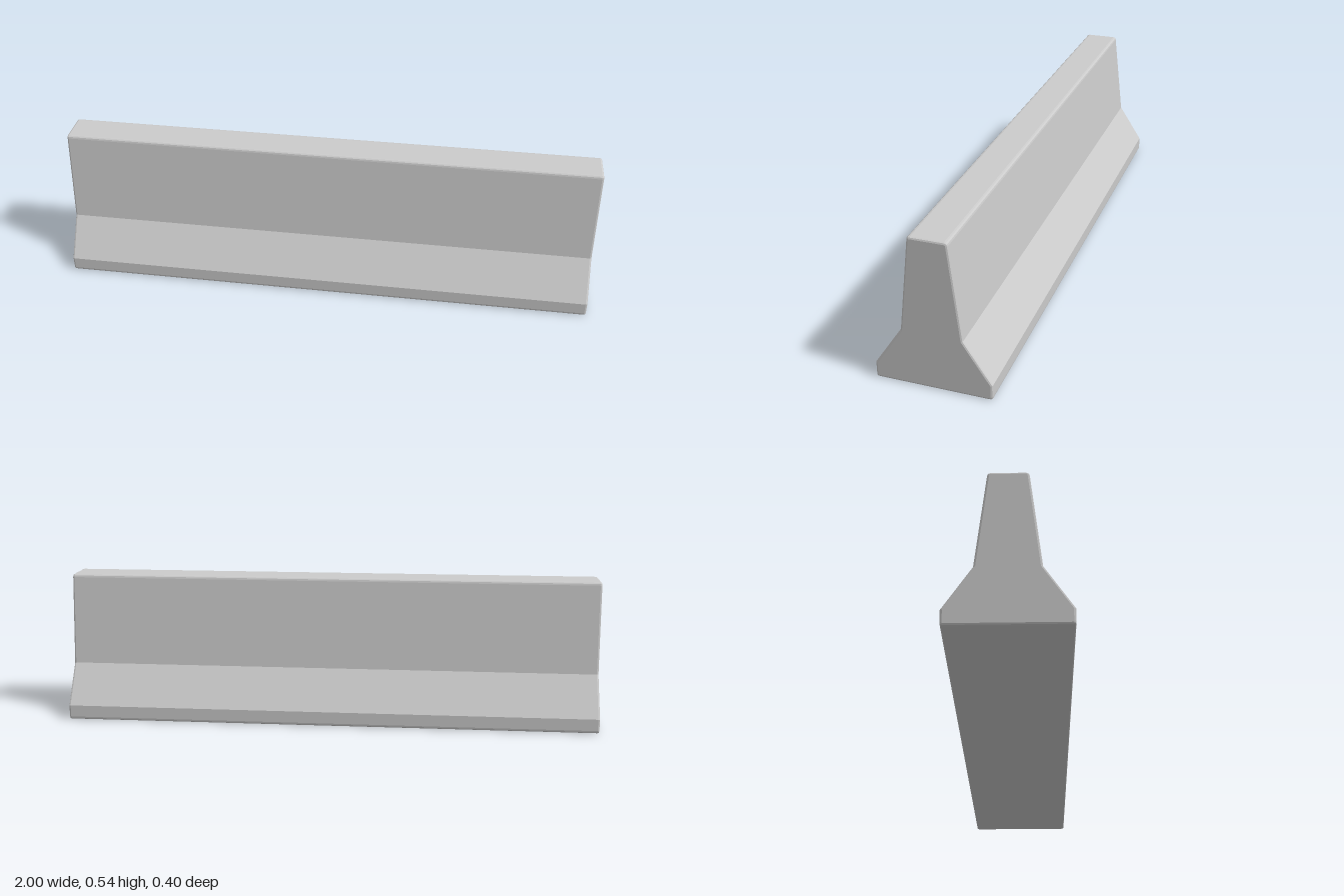
import * as THREE from 'three';

const LENGTH = 2;
const HEIGHT = 0.54;
const BEVEL = 0.007;
const ROUND = 0.011;

// Half of the cross-section, from the bottom corner up to the top corner
const BASE = 0.2, KERB = 0.055;      // upright foot
const WAIST = 0.105, WAIST_Y = 0.2;  // end of the sloping apron
const TOP = 0.066;                   // top edge of the tapering wall

function barrierProfile() {
  const s = new THREE.Shape();
  s.moveTo(-BASE + ROUND, 0);
  s.lineTo(BASE - ROUND, 0);
  s.quadraticCurveTo(BASE, 0, BASE, ROUND);
  s.lineTo(BASE, KERB);
  s.lineTo(WAIST, WAIST_Y);
  s.lineTo(TOP + 0.001, HEIGHT - ROUND);
  s.quadraticCurveTo(TOP, HEIGHT, TOP - ROUND, HEIGHT);
  s.lineTo(-TOP + ROUND, HEIGHT);
  s.quadraticCurveTo(-TOP, HEIGHT, -TOP - 0.001, HEIGHT - ROUND);
  s.lineTo(-WAIST, WAIST_Y);
  s.lineTo(-BASE, KERB);
  s.lineTo(-BASE, ROUND);
  s.quadraticCurveTo(-BASE, 0, -BASE + ROUND, 0);
  return s;
}

export function createModel() {
  const group = new THREE.Group();
  group.name = 'roadBarrier';

  // Solid block: the profile swept along x with softened end edges
  const geometry = new THREE.ExtrudeGeometry(barrierProfile(), {
    depth: LENGTH - 2 * BEVEL,
    curveSegments: 3,
    bevelEnabled: true,
    bevelThickness: BEVEL,
    bevelSize: BEVEL,
    bevelOffset: -BEVEL,
    bevelSegments: 2,
  });
  geometry.translate(0, 0, -LENGTH / 2 + BEVEL);
  geometry.rotateY(Math.PI / 2);

  const concrete = new THREE.MeshStandardMaterial({ color: 0xcccccc, flatShading: true });
  const block = new THREE.Mesh(geometry, concrete);
  block.name = 'concreteBlock';
  group.add(block);
  return group;
}
